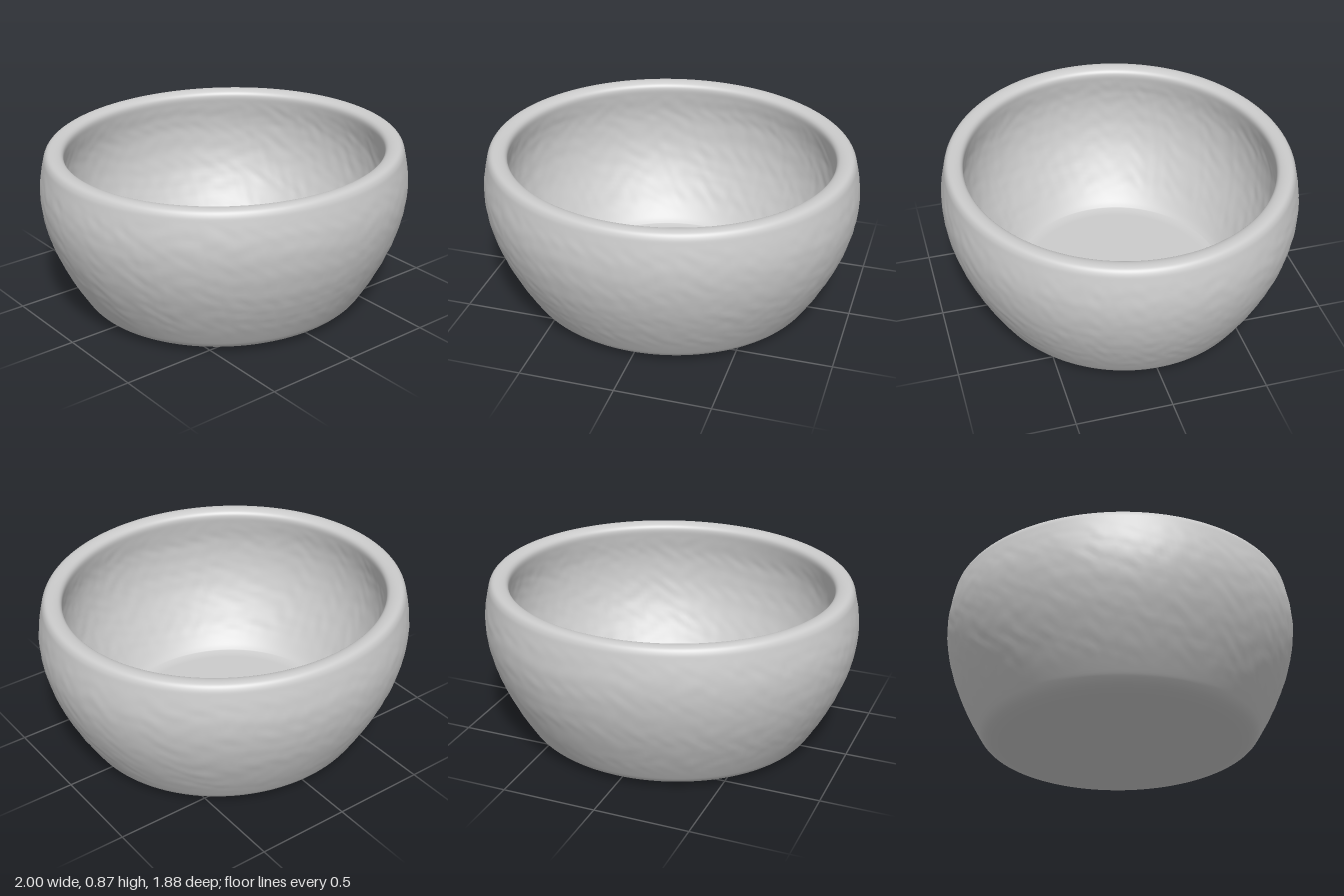
import * as THREE from 'three';
import { mergeVertices } from 'three/addons/utils/BufferGeometryUtils.js';

const DEPTH = 0.938; // the bowl is slightly narrower in z than in x

const toVectors = (points) => points.map(([r, y]) => new THREE.Vector2(r, y));

// Slightly uneven, hand-worked surface on the walls
function hammer(geometry) {
  const p = geometry.attributes.position;
  for (let i = 0; i < p.count; i++) {
    const x = p.getX(i), y = p.getY(i), z = p.getZ(i);
    const r = Math.hypot(x, z);
    if (r < 0.62) continue;
    const fade = THREE.MathUtils.smoothstep(y, 0.08, 0.2) * (1 - THREE.MathUtils.smoothstep(y, 0.72, 0.82));
    const dent = Math.sin(53 * x + 3 * Math.sin(31 * y + 9 * z))
      + Math.sin(61 * y + 3 * Math.sin(27 * z - 8 * x))
      + Math.sin(57 * z + 3 * Math.sin(29 * x + 11 * y));
    const k = 1 + 0.0007 * fade * dent / r;
    p.setXYZ(i, x * k, y, z * k);
  }
}

export function createModel() {
  const group = new THREE.Group();
  group.name = 'bowl';

  // Flat base with a soft foot edge
  const base = [[0, 0], [0.3, 0], [0.58, 0]];
  // Outer wall, rounded rim, and inner wall that swells below the lip
  const walls = [
    [0.62, 0.003], [0.69, 0.011], [0.74, 0.026], [0.775, 0.05], [0.805, 0.092],
    [0.86, 0.185], [0.915, 0.295], [0.96, 0.41], [0.99, 0.53], [1, 0.64],
    [0.992, 0.73], [0.977, 0.805], [0.968, 0.838], [0.953, 0.858], [0.93, 0.865],
    [0.9, 0.862], [0.876, 0.85], [0.866, 0.826], [0.872, 0.78],
    [0.885, 0.7], [0.889, 0.62], [0.877, 0.51], [0.846, 0.4], [0.798, 0.295],
    [0.735, 0.19], [0.69, 0.128], [0.65, 0.082], [0.62, 0.058],
  ];
  // Flat floor inside
  const floor = [[0.59, 0.05], [0.56, 0.05], [0.3, 0.05], [0, 0.05]];

  const points = [
    ...toVectors(base),
    ...new THREE.SplineCurve(toVectors(walls)).getPoints(140),
    ...toVectors(floor),
  ];
  let geometry = new THREE.LatheGeometry(points, 220);

  // Join the seam so the shading is continuous all round
  geometry.deleteAttribute('uv');
  geometry.deleteAttribute('normal');
  geometry = mergeVertices(geometry, 1e-5);
  hammer(geometry);
  geometry.scale(1, 1, DEPTH);
  geometry.computeVertexNormals();

  const bowl = new THREE.Mesh(geometry, new THREE.MeshStandardMaterial({ color: 0xcccccc }));
  bowl.name = 'bowlShell';
  group.add(bowl);
  return group;
}
